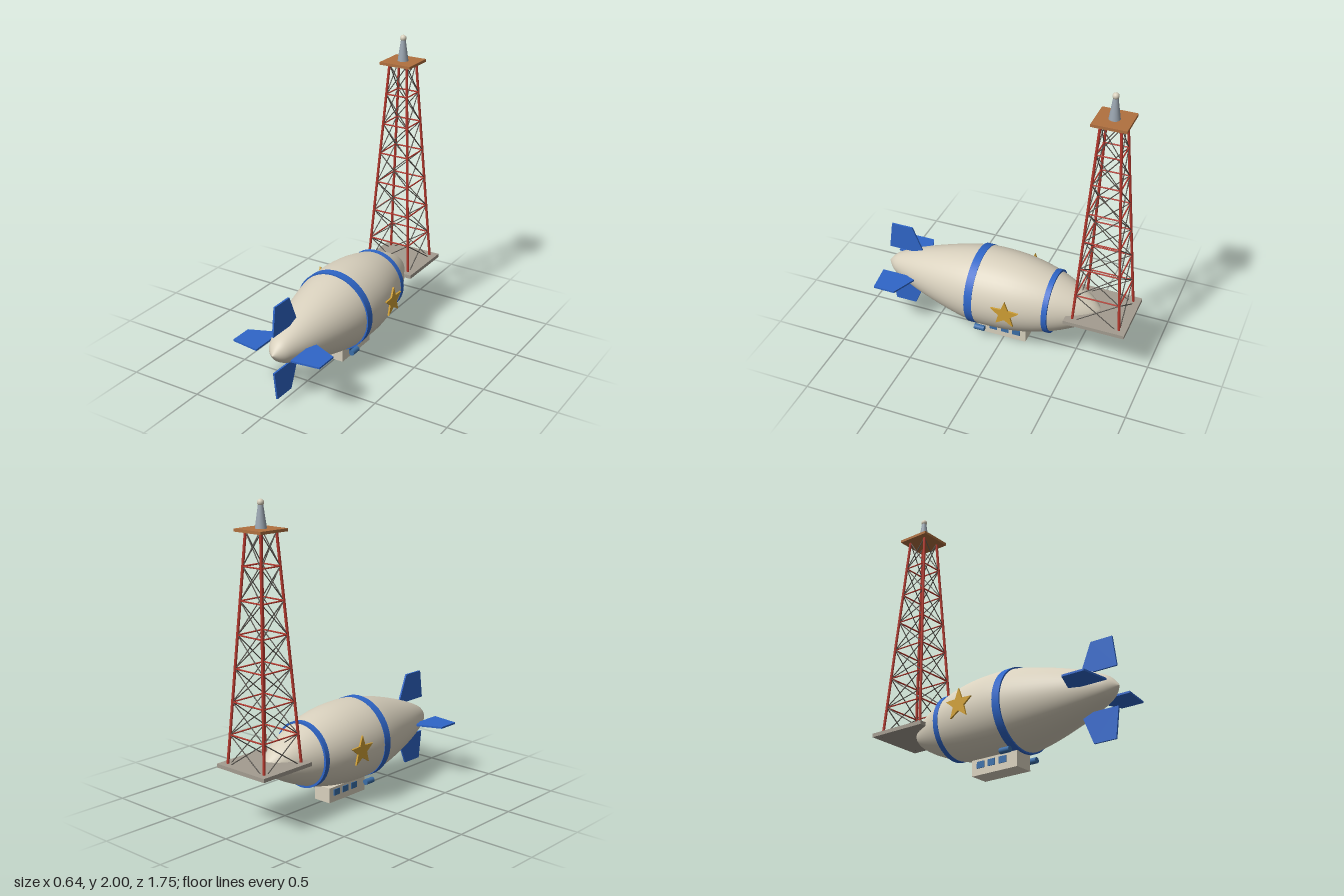
import * as THREE from 'three';

const mat = (name, color, side = THREE.FrontSide) => {
  const m = new THREE.MeshStandardMaterial({ color, side });
  m.name = name;
  return m;
};

export function createModel() {
  const model = new THREE.Group();
  model.name = 'airshipAndMooringTower';

  const cream = mat('cream', 0xd8d0bd);
  const blue = mat('blue', 0x2f66c8);
  const gold = mat('gold', 0xcf9f35);
  const glass = mat('steelBlue', 0x3a6ea8);
  const red = mat('red', 0xb8392e);
  const wire = mat('darkGrey', 0x5a5650);
  const stone = mat('stone', 0xa39c90);
  const wood = mat('wood', 0xb0703f);
  const metal = mat('metal', 0x9aa5b0);

  const add = (parent, name, geometry, material, x = 0, y = 0, z = 0) => {
    const mesh = new THREE.Mesh(geometry, material);
    mesh.name = name;
    mesh.position.set(x, y, z);
    parent.add(mesh);
    return mesh;
  };

  // Rod between two points
  const rod = (parent, name, a, b, radius, material, sides) => {
    const dir = b.clone().sub(a);
    const mesh = add(parent, name, new THREE.CylinderGeometry(radius, radius, dir.length(), sides), material);
    mesh.position.copy(a).add(b).multiplyScalar(0.5);
    mesh.quaternion.setFromUnitVectors(new THREE.Vector3(0, 1, 0), dir.normalize());
  };

  // ---- Airship, tail towards +z ----
  const ship = new THREE.Group();
  ship.name = 'airship';
  ship.position.y = 0.365;
  model.add(ship);

  // Hull: radius against z, nose to tail
  const profile = new THREE.SplineCurve([
    [0, -0.67], [0.03, -0.65], [0.08, -0.6], [0.14, -0.5], [0.208, -0.335], [0.253, -0.15],
    [0.269, 0.03], [0.262, 0.2], [0.22, 0.4], [0.155, 0.615], [0.09, 0.775], [0.05, 0.835], [0, 0.875],
  ].map(([r, z]) => new THREE.Vector2(r, z)));
  const points = profile.getPoints(48).map((p) => new THREE.Vector2(Math.max(p.x, 0), p.y));
  const hull = new THREE.LatheGeometry(points, 48);
  hull.rotateX(Math.PI / 2);
  add(ship, 'hull', hull, cream);

  // Bands round the hull
  for (const [r, z, width] of [[0.271, 0.178, 0.054], [0.216, -0.335, 0.036]]) {
    add(ship, 'hullBand', new THREE.CylinderGeometry(r, r, width, 48).rotateX(Math.PI / 2), blue, 0, 0, z);
  }

  // Four tail fins, drawn with x = -z and y = distance from the axis
  const finShape = new THREE.Shape([
    [-0.865, 0.125], [-0.61, 0.125], [-0.69, 0.318], [-0.84, 0.318],
  ].map(([x, y]) => new THREE.Vector2(x, y)));
  const finGeometry = new THREE.ExtrudeGeometry(finShape, { depth: 0.012, bevelEnabled: false });
  finGeometry.translate(0, 0, -0.006).rotateY(Math.PI / 2);
  for (let i = 0; i < 4; i++) {
    add(ship, 'tailFin', finGeometry, blue).rotation.z = (i * Math.PI) / 2;
  }

  // Star on each flank
  const starPoints = [];
  for (let i = 0; i < 10; i++) {
    const r = i % 2 ? 0.043 : 0.102;
    const a = Math.PI / 2 + (i * Math.PI) / 5;
    starPoints.push(new THREE.Vector2(r * Math.cos(a), r * Math.sin(a)));
  }
  const starGeometry = new THREE.ExtrudeGeometry(new THREE.Shape(starPoints), { depth: 0.012, bevelEnabled: false });
  starGeometry.translate(0, 0, -0.006).rotateY(Math.PI / 2);

  // Gondola
  add(ship, 'gondola', new THREE.BoxGeometry(0.13, 0.1, 0.342), cream, 0, -0.315, 0.014);

  for (const side of [-1, 1]) {
    add(ship, 'star', starGeometry, gold, side * 0.283, 0.024, -0.09);
    for (const z of [0.077, -0.007, -0.09]) {
      add(ship, 'gondolaWindow', new THREE.BoxGeometry(0.008, 0.042, 0.055), glass, side * 0.066, -0.302, z);
    }
    add(ship, 'engine', new THREE.CylinderGeometry(0.019, 0.019, 0.072, 16).rotateX(Math.PI / 2),
      glass, side * 0.134, -0.277, 0.15);
  }

  // ---- Mooring tower ----
  const tower = new THREE.Group();
  tower.name = 'mooringTower';
  tower.position.z = -0.67;
  model.add(tower);

  add(tower, 'basePad', new THREE.BoxGeometry(0.41, 0.025, 0.41), stone, 0, 0.381, 0);

  // Lattice: corner legs, horizontal rings and crossed braces
  const bottom = 0.37, top = 1.812, bays = 7;
  const corner = (i, level) => {
    const t = level / bays;
    const half = THREE.MathUtils.lerp(0.159, 0.064, t);
    const sx = i % 4 === 0 || i % 4 === 3 ? 1 : -1;
    const sz = i % 4 < 2 ? 1 : -1;
    return new THREE.Vector3(sx * half, THREE.MathUtils.lerp(bottom, top, t), sz * half);
  };
  for (let i = 0; i < 4; i++) {
    rod(tower, 'towerLeg', corner(i, 0), corner(i, bays), 0.009, red, 8);
    for (let k = 0; k < bays; k++) {
      if (k > 0) rod(tower, 'towerRing', corner(i, k), corner(i + 1, k), 0.005, red, 6);
      rod(tower, 'towerBrace', corner(i, k), corner(i + 1, k + 1), 0.0035, wire, 6);
      rod(tower, 'towerBrace', corner(i + 1, k), corner(i, k + 1), 0.0035, wire, 6);
    }
  }

  // Platform and mooring mast
  add(tower, 'platform', new THREE.BoxGeometry(0.224, 0.018, 0.224), wood, 0, 1.819, 0);
  add(tower, 'mastCone', new THREE.CylinderGeometry(0.015, 0.036, 0.145, 20), metal, 0, 1.9, 0);
  add(tower, 'mastBall', new THREE.SphereGeometry(0.021, 20, 14), cream, 0, 1.979, 0);

  return model;
}
